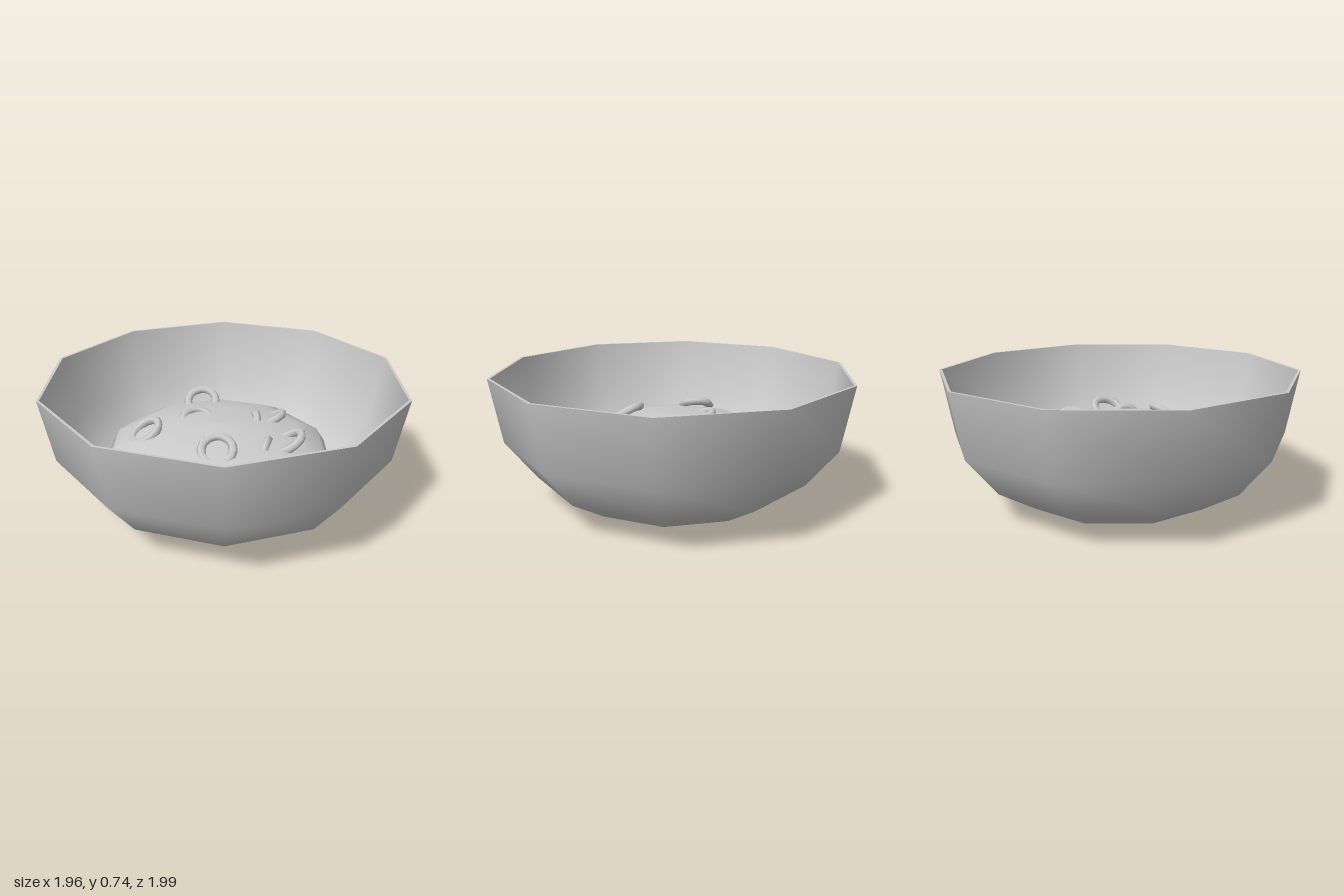
import * as THREE from 'three';

const SIDES = 10, TURN = 0.12;
const material = new THREE.MeshStandardMaterial({ color: 0xcccccc });

function lathe(name, points, parent) {
  const profile = points.map(([r, y]) => new THREE.Vector2(r, y));
  const mesh = new THREE.Mesh(new THREE.LatheGeometry(profile, SIDES, TURN), material);
  mesh.name = name;
  parent.add(mesh);
  return mesh;
}

export function createModel() {
  const model = new THREE.Group();
  model.name = 'bowlOfFood';

  // Ten-sided bowl: separate lathes keep the foot and rim edges crisp
  const bowl = new THREE.Group();
  bowl.name = 'bowl';
  model.add(bowl);
  const outer = [[0.31, 0], [0.555, 0.045], [0.765, 0.172], [0.935, 0.385], [1, 0.74]];
  const inner = [[0.985, 0.74], [0.92, 0.387], [0.753, 0.182], [0.548, 0.058], [0.31, 0.014], [0, 0.014]];
  lathe('bowlBase', [[0, 0], outer[0]], bowl);
  lathe('bowlOuterWall', outer, bowl);
  lathe('bowlRim', [outer[4], inner[0]], bowl);
  lathe('bowlInnerWall', inner, bowl);

  // Mound of food: a flattened ellipsoid, slightly off centre
  const mound = { x: -0.03, y: 0.265, z: 0.02, r: 0.66, h: 0.215 };
  const arc = [];
  for (let i = 0; i <= 8; i++) {
    const a = (i / 8) * Math.PI;
    arc.push([mound.r * Math.sin(a), -mound.h * Math.cos(a)]);
  }
  lathe('foodMound', arc, model).position.set(mound.x, mound.y, mound.z);
  const surface = (x, z) => {
    const d = Math.hypot(x - mound.x, z - mound.z) / mound.r;
    return mound.y + mound.h * Math.sqrt(1 - d * d);
  };

  // Half-buried rings: x, z, turn, tilt (degrees), lift above the mound
  const rings = [
    [-0.18, -0.375, 0, 32, 0],
    [-0.16, -0.075, 30, 20, -0.03],
    [-0.43, 0.085, -60, 32, 0],
    [0, 0.31, 0, 32, 0],
    [0.16, -0.12, -77, 82, -0.075],
    [0.245, -0.18, -112, 30, -0.03],
    [0.365, 0.115, -85, 32, -0.005],
    [0.245, 0.17, -98, 84, -0.082],
  ];
  const ringGeometry = new THREE.TorusGeometry(0.085, 0.024, 6, 14).rotateX(-Math.PI / 2);
  for (const [x, z, turn, tilt, lift] of rings) {
    const ring = new THREE.Mesh(ringGeometry, material);
    ring.name = 'foodRing';
    ring.position.set(x, surface(x, z) + lift, z);
    ring.rotation.set(THREE.MathUtils.degToRad(tilt), THREE.MathUtils.degToRad(turn), 0, 'YXZ');
    model.add(ring);
  }
  return model;
}
